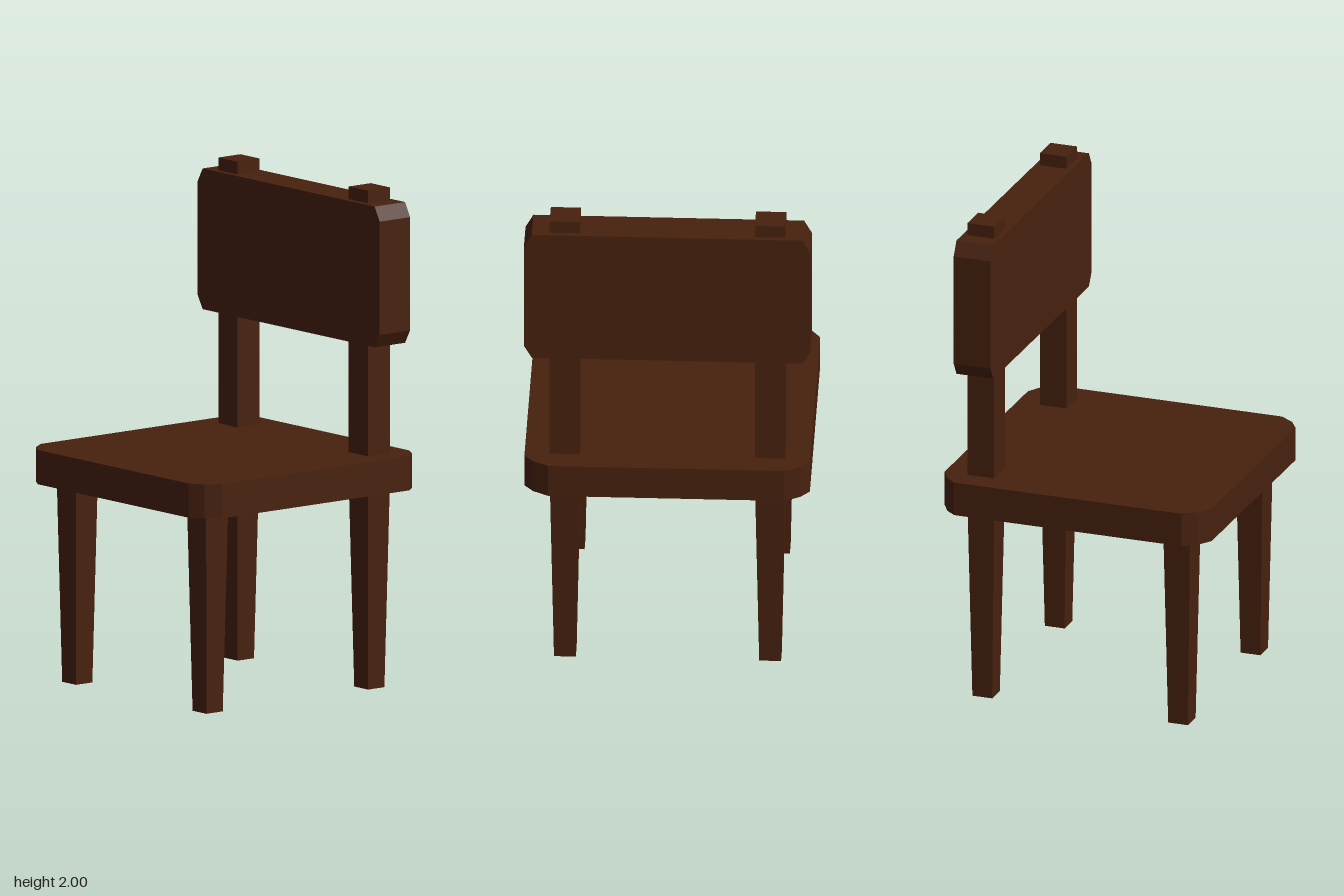
import * as THREE from 'three';

const wood = new THREE.MeshStandardMaterial({ color: 0x47210e });
wood.name = 'darkWood';

function add(parent, name, geometry, x = 0, y = 0, z = 0) {
  const flat = geometry.index ? geometry.toNonIndexed() : geometry;
  flat.computeVertexNormals();
  const mesh = new THREE.Mesh(flat, wood);
  mesh.name = name;
  mesh.position.set(x, y, z);
  parent.add(mesh);
}

// Box whose lower end is narrower
function taperedBox(w, h, d, wBottom, dBottom) {
  const g = new THREE.BoxGeometry(w, h, d);
  const p = g.attributes.position;
  for (let i = 0; i < p.count; i++) {
    if (p.getY(i) < 0) {
      p.setX(i, p.getX(i) * wBottom / w);
      p.setZ(i, p.getZ(i) * dBottom / d);
    }
  }
  return g;
}

// Flat slab from an outline
function slab(points, depth) {
  const shape = new THREE.Shape(points.map(([x, y]) => new THREE.Vector2(x, y)));
  return new THREE.ExtrudeGeometry(shape, { depth, bevelEnabled: false });
}

export function createModel() {
  const chair = new THREE.Group();
  chair.name = 'chair';

  // Seat with faceted corners, outline in x and z
  const e = 0.562;
  const seat = slab([
    [-0.47, -e], [0.485, -e], [0.527, -0.527], [e, -0.465],
    [e, 0.465], [0.527, 0.527], [0.485, e], [-0.47, e],
    [-0.527, 0.522], [-e, 0.468], [-e, -0.468], [-0.527, -0.522],
  ], 0.137);
  seat.rotateX(-Math.PI / 2);
  add(chair, 'seat', seat, 0, 0.8, 0);

  // Backrest panel with clipped corners, outline in z and y
  const z = 0.564, zi = 0.533;
  const panel = slab([
    [-zi, 1.386], [zi, 1.386], [z, 1.44], [z, 1.893],
    [zi, 1.949], [-zi, 1.949], [-z, 1.893], [-z, 1.44],
  ], 0.155);
  panel.rotateY(Math.PI / 2);
  add(chair, 'backrest', panel, 0.331, 0, 0);

  // Tapered legs and the posts that carry the backrest
  for (const side of [-1, 1]) {
    const zLeg = side * 0.404;
    add(chair, 'frontLeg', taperedBox(0.112, 0.81, 0.118, 0.083, 0.086), -0.413, 0.405, zLeg);
    add(chair, 'backLeg', taperedBox(0.112, 0.81, 0.118, 0.083, 0.086), 0.41, 0.405, zLeg);
    add(chair, 'backPost', new THREE.BoxGeometry(0.112, 1.1, 0.119), 0.41, 1.45, zLeg);
  }
  return chair;
}
